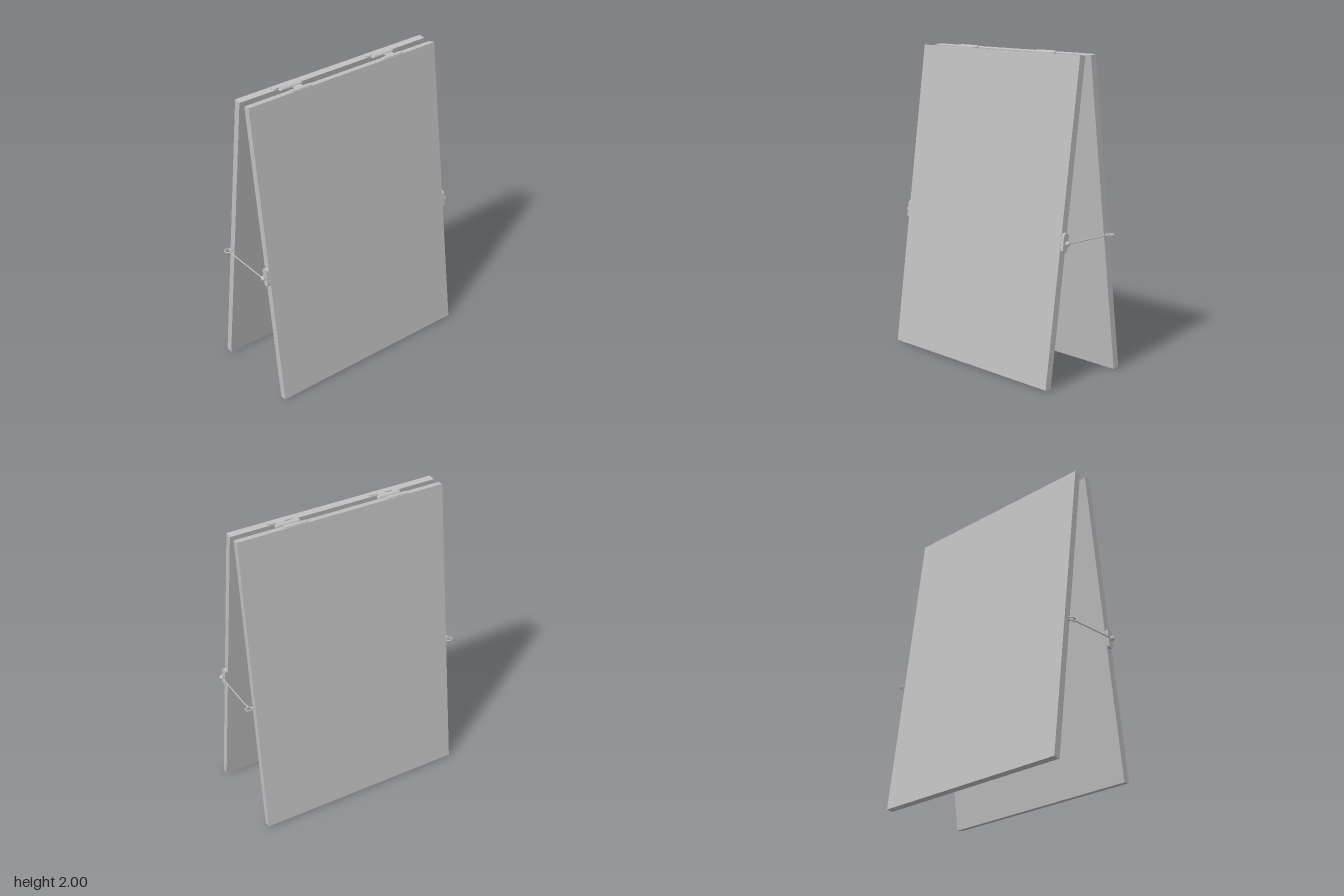
import * as THREE from 'three';

const steel = new THREE.MeshStandardMaterial({ color: 0xc0c0c0 });
steel.name = 'grey';

function add(parent, name, geometry, x = 0, y = 0, z = 0) {
  const mesh = new THREE.Mesh(geometry, steel);
  mesh.name = name;
  mesh.position.set(x, y, z);
  parent.add(mesh);
  return mesh;
}

// Flat plate with semicircular ends, long along x, extruded along +z
function stadium(length, width, depth) {
  const r = width / 2, h = length / 2 - r;
  const s = new THREE.Shape();
  s.absarc(h, 0, r, -Math.PI / 2, Math.PI / 2, false);
  s.absarc(-h, 0, r, Math.PI / 2, Math.PI * 1.5, false);
  return new THREE.ExtrudeGeometry(s, { depth, bevelEnabled: false, curveSegments: 8 });
}

const W = 1.41, L = 2.0, T = 0.044;

// Leaning board; its own y axis runs up the slope
function board(parent, name, z, angle) {
  const g = new THREE.Group();
  g.name = name;
  const a = Math.abs(angle);
  g.position.set(0, (L * Math.cos(a) + T * Math.sin(a)) / 2, z);
  g.rotation.x = angle;
  add(g, name + 'Sheet', new THREE.BoxGeometry(W, L, T));
  parent.add(g);
  return g;
}

// Bar between two points
function bar(parent, name, from, to, radius) {
  const a = new THREE.Vector3(...from), b = new THREE.Vector3(...to);
  const m = add(parent, name, new THREE.CylinderGeometry(radius, radius, a.distanceTo(b), 10));
  m.position.copy(a).add(b).multiplyScalar(0.5);
  m.quaternion.setFromUnitVectors(new THREE.Vector3(0, 1, 0), b.sub(a).normalize());
}

export function createModel() {
  const model = new THREE.Group();
  model.name = 'foldingBoard';
  const front = board(model, 'frontBoard', 0.17, -0.1355);
  const back = board(model, 'backBoard', -0.182, 0.126);

  // Two hinges on the top edges, the same way round
  for (const x of [-0.353, 0.346]) {
    const frontLeaf = add(front, 'frontHingeLeaf', stadium(0.168, 0.034, 0.005), x + 0.031, L / 2, 0);
    const backLeaf = add(back, 'backHingeLeaf', stadium(0.168, 0.034, 0.005), x - 0.032, L / 2, 0);
    frontLeaf.rotation.x = backLeaf.rotation.x = -Math.PI / 2;
    const pin = add(model, 'hingeBarrel', new THREE.CapsuleGeometry(0.0145, 0.139, 6, 12), x, 1.985, -0.02);
    pin.rotation.z = Math.PI / 2;
    add(model, 'frontHingeNeck', new THREE.BoxGeometry(0.058, 0.005, 0.036), x + 0.032, 1.985, 0.002);
    add(model, 'backHingeNeck', new THREE.BoxGeometry(0.088, 0.005, 0.028), x - 0.016, 1.986, -0.038);
  }

  // Stay hook on each side
  for (const s of [1, -1]) {
    const stay = new THREE.Group();
    stay.name = s > 0 ? 'leftStay' : 'rightStay';

    // Mounting plate along the front board's edge
    const mount = new THREE.Group();
    mount.name = 'stayMount';
    mount.position.set(s * 0.705, 0.89, 0.184);
    mount.rotation.x = -0.1355;
    const plate = add(mount, 'stayPlate', stadium(0.122, 0.04, 0.02), s > 0 ? 0 : -0.02);
    plate.rotation.set(Math.PI / 2, Math.PI / 2, 0);
    stay.add(mount);

    // Pivot knob
    bar(stay, 'pivotPin', [s * 0.72, 0.888, 0.182], [s * 0.74, 0.888, 0.182], 0.009);
    add(stay, 'pivotKnob', new THREE.SphereGeometry(0.016, 12, 8), s * 0.738, 0.888, 0.182);

    // Rod, hooked into a screw eye on the back board
    bar(stay, 'stayRod', [s * 0.738, 0.887, 0.182], [s * 0.738, 0.887, -0.165], 0.004);
    const hook = add(stay, 'rodHook', new THREE.TorusGeometry(0.011, 0.004, 6, 12), s * 0.738, 0.889, -0.171);
    hook.rotation.y = Math.PI / 2;
    const eye = add(stay, 'screwEye', new THREE.TorusGeometry(0.0225, 0.005, 6, 6), s * 0.74, 0.888, -0.195);
    eye.rotation.set(Math.PI / 2, 0, Math.PI / 2);
    bar(stay, 'eyeShank', [s * 0.695, 0.888, -0.195], [s * 0.722, 0.888, -0.195], 0.005);
    model.add(stay);
  }
  return model;
}
